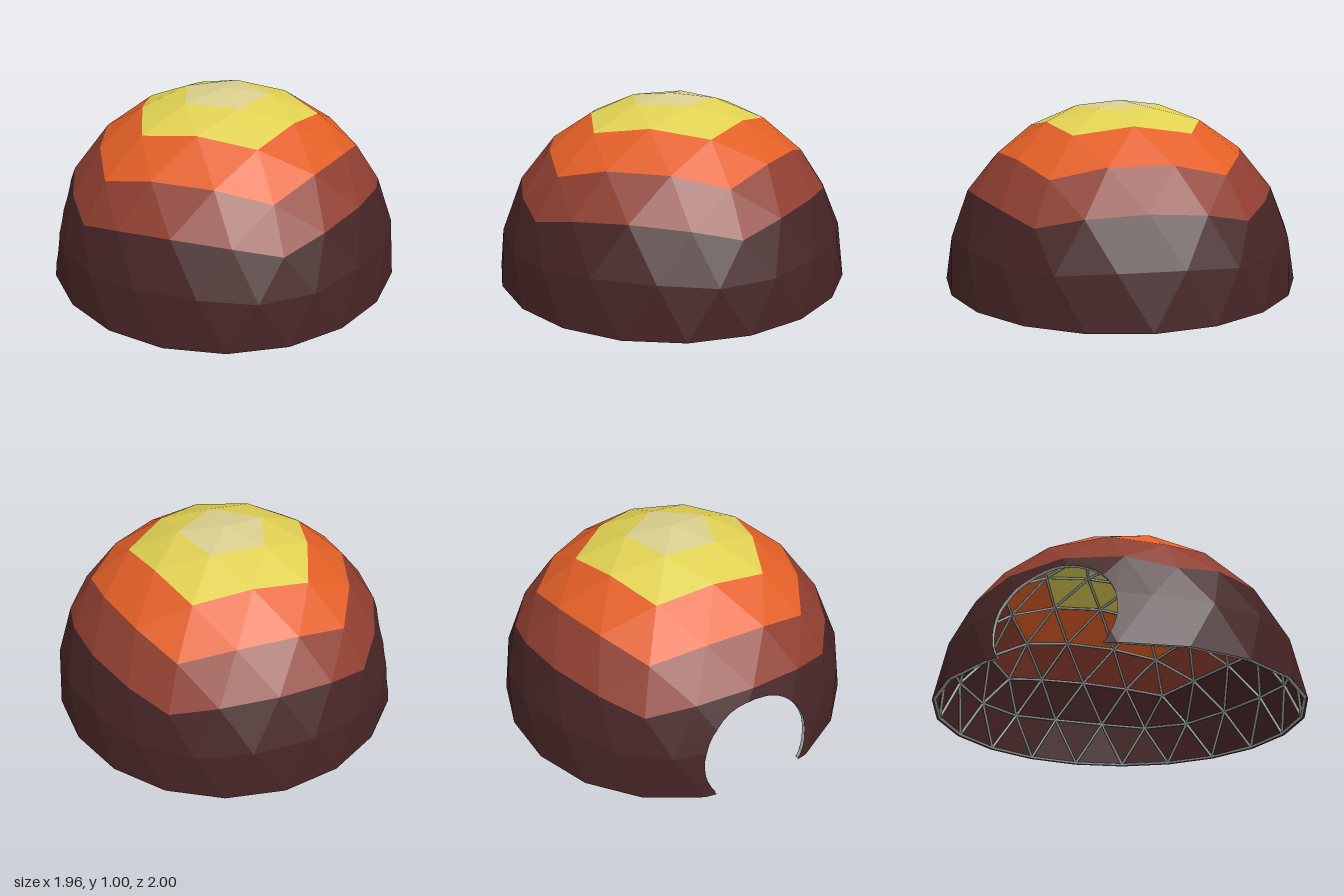
import * as THREE from 'three';
import { mergeGeometries } from 'three/addons/utils/BufferGeometryUtils.js';

const FREQ = 4;                         // subdivisions per icosahedron edge
const SHIFT = -0.024;                   // centres the dome once the doorway is cut
const DOOR = { y: 0.17, r: 0.3, n: 40 }; // round doorway, cut along x on the -x side
const STRUT_R = 0.008, INSET = 0.985;

const mat = (name, color, side = THREE.FrontSide) => {
  const m = new THREE.MeshStandardMaterial({ color, side });
  m.name = name;
  return m;
};

// Upper half of a geodesic sphere: triangles with a colour band (0 = crown, 4 = wall)
function domeTriangles() {
  const ring = (y, turn) => Array.from({ length: 5 }, (_, k) => {
    const a = (k * 72 + turn) * Math.PI / 180, r = Math.sqrt(1 - y * y);
    return new THREE.Vector3(r * Math.cos(a), y, r * Math.sin(a));
  });
  const h = 1 / Math.sqrt(5), top = new THREE.Vector3(0, 1, 0);
  const up = ring(h, 0), low = ring(-h, 36), tris = [];
  const subdivide = (a, b, c, isCap) => {
    const at = (i, j) => new THREE.Vector3()
      .addScaledVector(a, FREQ - i).addScaledVector(b, i - j).addScaledVector(c, j).normalize();
    const add = (p, q, r, row) => {
      if (p.y + q.y + r.y < 0.01) return;
      const n = q.clone().sub(p).cross(r.clone().sub(p));
      tris.push({ pts: n.dot(p) > 0 ? [p, q, r] : [p, r, q], band: isCap ? row : FREQ });
    };
    for (let i = 0; i < FREQ; i++) {
      for (let j = 0; j <= i; j++) {
        add(at(i, j), at(i + 1, j), at(i + 1, j + 1), i);
        if (j < i) add(at(i, j), at(i + 1, j + 1), at(i, j + 1), i);
      }
    }
  };
  for (let k = 0; k < 5; k++) {
    const n = (k + 1) % 5;
    subdivide(top, up[k], up[n], true);
    subdivide(low[k], up[k], up[n], false);
    subdivide(up[n], low[k], low[n], false);
  }
  return tris;
}

// Part of a polygon where f(point) >= 0
function clip(poly, f) {
  const out = [];
  poly.forEach((p, i) => {
    const q = poly[(i + 1) % poly.length], a = f(p), b = f(q);
    if (a >= 0) out.push(p);
    if ((a >= 0) !== (b >= 0)) out.push(p.clone().lerp(q, a / (a - b)));
  });
  return out;
}

// Pieces of a polygon that lie outside the doorway
function cutDoor(poly) {
  if (poly.some(p => p.x > -0.3)) return [poly];
  const pieces = [];
  let rest = poly;
  for (let k = 0; k < DOOR.n && rest.length > 2; k++) {
    const a = (k + 0.5) / DOOR.n * Math.PI * 2, d = DOOR.r * Math.cos(Math.PI / DOOR.n);
    const f = p => (p.y - DOOR.y) * Math.sin(a) + p.z * Math.cos(a) - d;
    const outside = clip(rest, f);
    if (outside.length > 2) pieces.push(outside);
    rest = clip(rest, p => -f(p));
  }
  // untouched panels stay whole
  return rest.length > 2 ? pieces : [poly];
}

// Portions of a segment that lie outside the doorway
function cutSegment(p, q) {
  if (p.x > -0.3 || q.x > -0.3) return [[p, q]];
  const dy = q.y - p.y, dz = q.z - p.z, py = p.y - DOOR.y;
  const a = dy * dy + dz * dz, b = py * dy + p.z * dz;
  const disc = b * b - a * (py * py + p.z * p.z - DOOR.r ** 2);
  if (disc <= 0) return [[p, q]];
  const t0 = (-b - Math.sqrt(disc)) / a, t1 = (-b + Math.sqrt(disc)) / a;
  if (t1 <= 0 || t0 >= 1) return [[p, q]];
  const out = [];
  if (t0 > 0.02) out.push([p, p.clone().lerp(q, t0)]);
  if (t1 < 0.98) out.push([p.clone().lerp(q, t1), q]);
  return out;
}

function rod(p, q) {
  const d = q.clone().sub(p), g = new THREE.CylinderGeometry(STRUT_R, STRUT_R, d.length(), 6);
  g.applyQuaternion(new THREE.Quaternion().setFromUnitVectors(new THREE.Vector3(0, 1, 0), d.normalize()));
  return g.translate((p.x + q.x) / 2, (p.y + q.y) / 2, (p.z + q.z) / 2);
}

export function createModel() {
  const group = new THREE.Group();
  group.name = 'geodesicDome';
  const add = (name, geometry, material) => {
    const mesh = new THREE.Mesh(geometry, material);
    mesh.name = name;
    mesh.position.x = SHIFT;
    group.add(mesh);
  };
  const tris = domeTriangles();

  // Flat cover panels, one mesh per colour band
  const bands = [
    ['crownPanels', 'cream', 0xdacf8e], ['upperPanels', 'yellow', 0xe0d152],
    ['middlePanels', 'orange', 0xe25f26], ['lowerPanels', 'brick red', 0x8e3e30],
    ['wallPanels', 'dark maroon', 0x452425],
  ];
  bands.forEach(([name, colorName, color], band) => {
    const pos = [];
    for (const t of tris.filter(t => t.band === band)) {
      for (const poly of cutDoor(t.pts)) {
        for (let i = 1; i < poly.length - 1; i++) {
          for (const p of [poly[0], poly[i], poly[i + 1]]) pos.push(p.x, p.y, p.z);
        }
      }
    }
    const g = new THREE.BufferGeometry();
    g.setAttribute('position', new THREE.Float32BufferAttribute(pos, 3));
    g.computeVertexNormals();
    add(name, g, mat(colorName, color, THREE.DoubleSide));
  });

  // Inner struts along every panel edge
  const steel = mat('steel grey', 0x9ca6a4);
  const inset = p => {
    const v = p.clone().multiplyScalar(INSET);
    v.y = Math.max(v.y, STRUT_R);
    return v;
  };
  const seen = new Set(), rods = [];
  const key = p => p.toArray().map(v => Math.round(v * 1000)).join();
  for (const { pts } of tris) {
    pts.forEach((p, i) => {
      const q = pts[(i + 1) % 3], id = [key(p), key(q)].sort().join('|');
      if (seen.has(id)) return;
      seen.add(id);
      for (const [s, e] of cutSegment(inset(p), inset(q))) rods.push(rod(s, e));
    });
  }
  add('struts', mergeGeometries(rods), steel);

  // Doorway frame: the door circle projected onto the faceted shell
  const planes = tris.map(({ pts: [a, b, c] }) => new THREE.Plane().setFromCoplanarPoints(a, b, c))
    .filter(p => p.normal.x < -0.1);
  const shellX = (y, z) => Math.max(...planes.map(p => -(p.constant + p.normal.y * y + p.normal.z * z) / p.normal.x));
  const start = -Math.asin((DOOR.y - STRUT_R) / DOOR.r), path = [];
  for (let k = 0; k <= DOOR.n; k++) {
    const a = start + (Math.PI - 2 * start) * k / DOOR.n, r = DOOR.r + STRUT_R * 0.5;
    const y = DOOR.y + r * Math.sin(a), z = r * Math.cos(a);
    path.push(new THREE.Vector3(shellX(y, z) + 0.012, y, z));
  }
  add('doorFrame', new THREE.TubeGeometry(new THREE.CatmullRomCurve3(path), 80, STRUT_R, 6), steel);
  return group;
}
